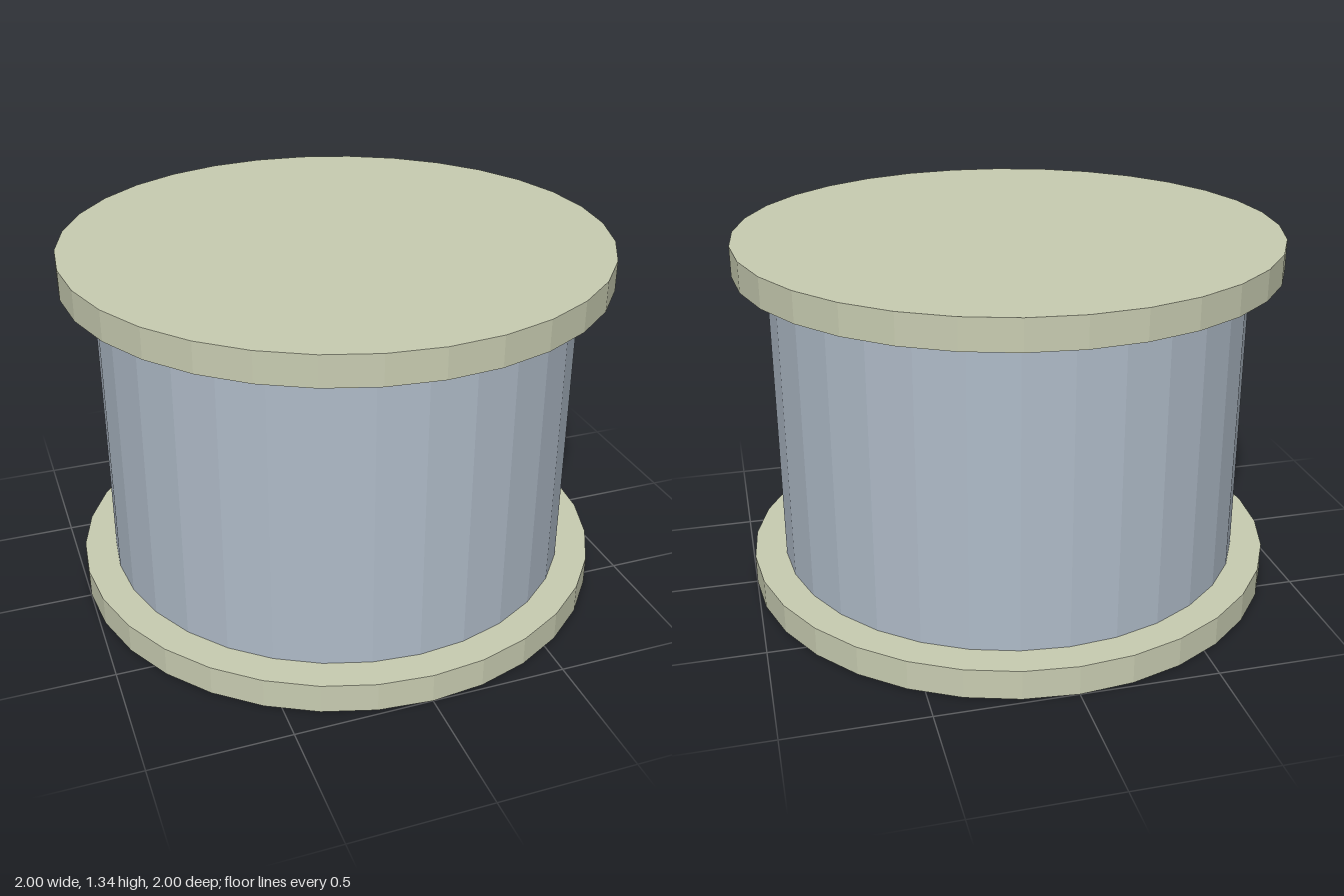
import * as THREE from 'three';

const SIDES = 32;
const HEIGHT = 1.34;
const FLANGE = 0.11;
const HUB_RADIUS = 0.6;

export function createModel() {
  const model = new THREE.Group();
  model.name = 'spool';

  const flangeMaterial = new THREE.MeshStandardMaterial({ color: 0xc9cdb2, flatShading: true });
  flangeMaterial.name = 'pale olive';
  const windingMaterial = new THREE.MeshStandardMaterial({ color: 0xb0bcc9, flatShading: true });
  windingMaterial.name = 'blue grey';

  function add(name, geometry, material, y) {
    const mesh = new THREE.Mesh(geometry, material);
    mesh.name = name;
    mesh.position.y = y;
    model.add(mesh);
  }

  // Flanges: flat rings around the hub
  const profile = [[HUB_RADIUS, 0], [1, 0], [1, FLANGE], [HUB_RADIUS, FLANGE]]
    .map(([r, y]) => new THREE.Vector2(r, y));
  const flange = new THREE.LatheGeometry(profile, SIDES);
  add('bottomFlange', flange, flangeMaterial, 0);
  add('topFlange', flange, flangeMaterial, HEIGHT - FLANGE);

  // Hub: core running through both flanges, flush with their faces
  add('hub', new THREE.CylinderGeometry(HUB_RADIUS, HUB_RADIUS, HEIGHT, SIDES), flangeMaterial, HEIGHT / 2);

  // Winding: wide drum between the flanges
  const winding = new THREE.CylinderGeometry(0.88, 0.88, HEIGHT - 2 * FLANGE, SIDES, 1, true);
  add('winding', winding, windingMaterial, HEIGHT / 2);

  return model;
}
